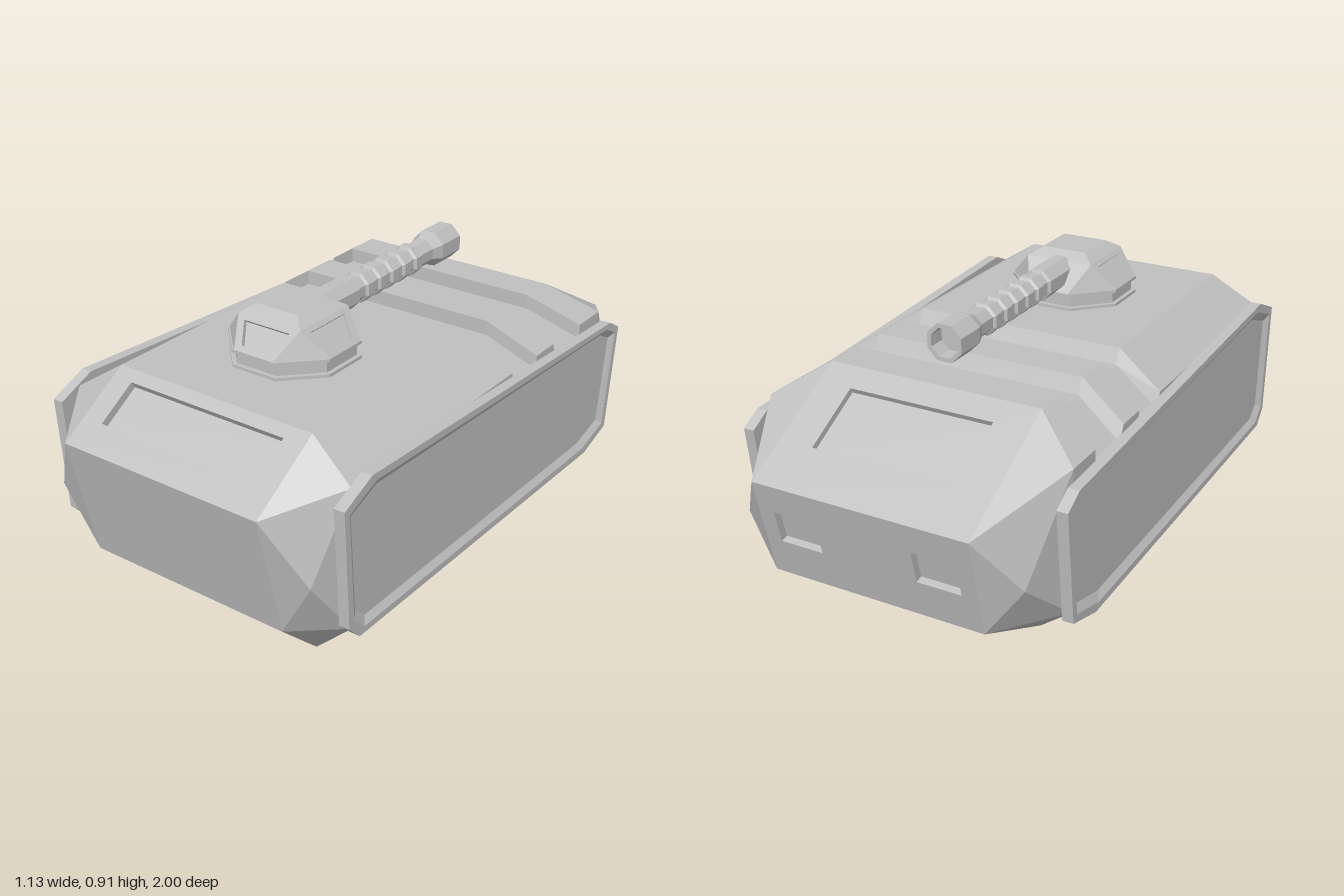
import * as THREE from 'three';

const V = (x, y, z) => new THREE.Vector3(x, y, z);
const mean = (pts) => pts.reduce((s, p) => s.add(p), V(0, 0, 0)).divideScalar(pts.length);

// Collects flat triangles; each one is turned to face a given direction
class Facets {
  constructor() { this.data = []; }
  tri(a, b, c, dir) {
    const n = b.clone().sub(a).cross(c.clone().sub(a));
    const order = n.dot(dir) < 0 ? [a, c, b] : [a, b, c];
    for (const p of order) this.data.push(p.x, p.y, p.z);
  }
  quad(a, b, c, d, dir) { this.tri(a, b, c, dir); this.tri(a, c, d, dir); }
  // Polygon facing away from `inside`, with sunken recesses
  face(pts, inside, recesses = [], depth = 0.03) {
    const n = V(0, 0, 0);
    pts.forEach((p, i) => n.add(p.clone().cross(pts[(i + 1) % pts.length])));
    n.normalize();
    if (n.dot(mean(pts).sub(inside)) < 0) n.negate();
    const u = pts[1].clone().sub(pts[0]).normalize();
    const v = n.clone().cross(u);
    const flat = (p) => new THREE.Vector2(p.dot(u), p.dot(v));
    const fill = (outline, holes) => {
      const all = [outline, ...holes].flat();
      const tris = THREE.ShapeUtils.triangulateShape(outline.map(flat), holes.map((h) => h.map(flat)));
      for (const [a, b, c] of tris) this.tri(all[a], all[b], all[c], n);
    };
    fill(pts, recesses);
    for (const hole of recesses) {
      const floor = hole.map((p) => p.clone().addScaledVector(n, -depth));
      const mid = mean(hole);
      hole.forEach((p, i) => {
        const j = (i + 1) % hole.length;
        const dir = mid.clone().sub(p.clone().add(hole[j]).multiplyScalar(0.5));
        this.quad(p, hole[j], floor[j], floor[i], dir);
      });
      fill(floor, []);
    }
  }
  mesh(name, material) {
    const g = new THREE.BufferGeometry();
    g.setAttribute('position', new THREE.Float32BufferAttribute(this.data, 3));
    g.computeVertexNormals();
    const m = new THREE.Mesh(g, material);
    m.name = name;
    return m;
  }
}

function flatMesh(geometry, name, material) {
  const g = geometry.toNonIndexed();
  g.computeVertexNormals();
  const m = new THREE.Mesh(g, material);
  m.name = name;
  return m;
}

// Faceted body with recessed windows, vents and roof grooves
function buildHull(material) {
  const f = new Facets();
  const core = V(0, 0.37, 0);
  const W = 0.37, S = 0.53, TOP = 0.74, SHOULDER = 0.635, SILL = 0.16;
  // Ends: [y, z] of nose and chin, corner point, roof, floor and side z
  const ends = [
    { nose: [0.58, 1], chin: [0.155, 0.905], mid: [0.49, 0.36, 0.92], z: 0.745, side: 0.78 },
    { nose: [0.51, -1], chin: [0.17, -0.92], mid: [0.485, 0.33, -0.89], z: -0.58, side: -0.69 },
  ];
  // Rectangle on a sloped end face between two [y, z] edges
  const onSlope = (x0, x1, y0, y1, a, b) => {
    const z = (y) => a[1] + (b[1] - a[1]) * (y - a[0]) / (b[0] - a[0]);
    return [V(x0, y0, z(y0)), V(x1, y0, z(y0)), V(x1, y1, z(y1)), V(x0, y1, z(y1))];
  };
  ends.forEach((e, i) => {
    const front = i === 0;
    const roof = [TOP, e.z], floor = [0, e.z];
    const band = (a, b, recesses, depth) =>
      f.face([V(-W, ...a), V(W, ...a), V(W, ...b), V(-W, ...b)], core, recesses, depth);
    band(e.nose, roof, [front ? onSlope(-0.295, 0.295, 0.633, 0.717, e.nose, roof)
      : onSlope(-0.25, 0.25, 0.588, 0.7, e.nose, roof)], front ? 0.026 : 0.02);
    band(e.chin, e.nose, front ? [] : [-0.24, 0.24].map((x) =>
      onSlope(x - 0.075, x + 0.075, 0.3, 0.41, e.chin, e.nose)), 0.025);
    band(floor, e.chin, front ? [-0.1875, 0.1875].map((x) =>
      onSlope(x - 0.14, x + 0.14, 0.035, 0.13, floor, e.chin)) : [], 0.032);
    // Corner facets
    for (const s of [-1, 1]) {
      const nose = V(s * W, ...e.nose), chin = V(s * W, ...e.chin);
      const mid = V(s * e.mid[0], e.mid[1], e.mid[2]);
      const hi = V(s * S, SHOULDER, e.side), lo = V(s * S, SILL, e.side);
      f.face([V(s * W, ...roof), hi, nose], core);
      f.face([nose, hi, mid], core);
      f.face([nose, mid, chin], core);
      f.face([mid, hi, lo], core);
      f.face([mid, lo, chin], core);
      f.face([chin, lo, V(s * W, ...floor)], core);
    }
  });
  // Underside with two long channels
  const [zf, zb] = [0.745, -0.58];
  f.face([V(-W, 0, zf), V(W, 0, zf), V(W, 0, zb), V(-W, 0, zb)], core, [-0.175, 0.175].map((x) =>
    [V(x - 0.125, 0, 0.665), V(x + 0.125, 0, 0.665), V(x + 0.125, 0, -0.47), V(x - 0.125, 0, -0.47)]));
  // Roof stations: [z at roof edge, z at shoulder, drop]
  const stations = [[zf, 0.78, 0], [-0.055, -0.09, 0], [-0.08, -0.11, 0.05], [-0.19, -0.25, 0.05],
    [-0.19, -0.25, 0], [-0.32, -0.36, 0], [-0.345, -0.385, 0.05], [-0.455, -0.55, 0.05],
    [-0.455, -0.55, 0], [zb, -0.69, 0]];
  const rows = stations.map(([zc, ze, d]) => [V(-S, SHOULDER - d, ze), V(-W, TOP - d, zc),
    V(W, TOP - d, zc), V(S, SHOULDER - d, ze)]);
  const up = V(0, 1, 0.1);
  for (let i = 0; i < rows.length - 1; i++)
    for (let k = 0; k < 3; k++)
      f.quad(rows[i][k], rows[i][k + 1], rows[i + 1][k + 1], rows[i + 1][k], up);
  for (const s of [-1, 1]) {
    // Side wall following the grooves
    const edge = rows.map((r) => r[s < 0 ? 0 : 3].clone());
    f.face([...edge, V(s * S, SILL, -0.69), V(s * S, SILL, 0.78)], core);
    // Lower chamfer with four slanted vents
    const at = (y, z) => V(s * (W + y), y, z);
    const vents = [0.58, 0.28, -0.02, -0.32].map((z, i) => {
      const lean = i * 0.014;
      return [at(0.02, z), at(0.02, z - 0.1), at(0.13, z - 0.1 - lean), at(0.13, z - lean)];
    });
    f.face([at(0, zf), at(0, zb), at(SILL, -0.69), at(SILL, 0.78)], core, vents, 0.022);
  }
  return f.mesh('hull', material);
}

// Side plate with raised rim and sunken centre
function buildSidePanel(s, material) {
  const f = new Facets();
  const outline = [[0.86, 0.61], [0.73, 0.665], [-0.72, 0.59], [-0.79, 0.55],
    [-0.745, 0.165], [-0.595, 0.12], [0.79, 0.155], [0.84, 0.207]];
  const cz = 0.035, cy = 0.39;
  const ring = (x, inset) => outline.map(([z, y]) =>
    V(s * x, cy + (y - cy) * (1 - inset / 0.26), cz + (z - cz) * (1 - inset / 0.82)));
  const rings = [ring(0.528, 0), ring(0.565, 0), ring(0.565, 0.024), ring(0.55, 0.048)];
  const out = V(s, 0, 0), centre = V(s * 0.5465, cy, cz);
  for (let k = 0; k < 3; k++)
    outline.forEach((_, i) => {
      const j = (i + 1) % outline.length;
      const dir = k === 0 ? mean([rings[0][i], rings[1][j]]).sub(centre) : out;
      f.quad(rings[k][i], rings[k][j], rings[k + 1][j], rings[k + 1][i], dir);
    });
  f.face(rings[3], V(0, cy, cz));
  f.face(rings[0], V(s * 2, cy, cz));
  return f.mesh(s > 0 ? 'leftSidePanel' : 'rightSidePanel', material);
}

// Turret cap: octagonal foot rising to a square crown, with windows
function buildDome(material) {
  const f = new Facets();
  const core = V(0, 0.84, 0);
  const foot = [];
  for (let q = 0; q < 4; q++) {
    const turn = (x, y, z) => V(x, y, z).applyAxisAngle(V(0, 1, 0), q * Math.PI / 2);
    const window = [turn(-0.055, 0.815, 0.1859), turn(0.055, 0.815, 0.1859),
      turn(0.088, 0.872, 0.1322), turn(-0.088, 0.872, 0.1322)];
    f.face([turn(-0.075, 0.8, 0.2), turn(0.075, 0.8, 0.2), turn(0.12, 0.885, 0.12), turn(-0.12, 0.885, 0.12)],
      core, q === 2 ? [] : [window], 0.015);
    f.face([turn(0.075, 0.8, 0.2), turn(0.2, 0.8, 0.075), turn(0.12, 0.885, 0.12)], core);
    f.face([turn(-0.12, 0.885, 0.12), turn(0.12, 0.885, 0.12), turn(0.08, 0.912, 0.08), turn(-0.08, 0.912, 0.08)], core);
    foot.push(turn(-0.075, 0.8, 0.2), turn(0.075, 0.8, 0.2));
  }
  f.face([V(-0.08, 0.912, 0.08), V(0.08, 0.912, 0.08), V(0.08, 0.912, -0.08), V(-0.08, 0.912, -0.08)], core);
  f.face(foot, core);
  return f.mesh('turretDome', material);
}

export function createModel() {
  const model = new THREE.Group();
  const grey = new THREE.MeshStandardMaterial({ color: 0xc0c0c0 });
  grey.name = 'armour grey';
  model.add(buildHull(grey), buildSidePanel(1, grey), buildSidePanel(-1, grey));

  // Turret with stepped octagonal collar
  const turret = new THREE.Group();
  turret.name = 'turret';
  turret.position.z = 0.357;
  turret.add(buildDome(grey));
  for (const [name, r, y0, y1] of [['collarBase', 0.2, 0.738, 0.75], ['collarNeck', 0.185, 0.75, 0.79], ['collarLip', 0.2, 0.79, 0.8]]) {
    const R = r / Math.cos(Math.PI / 8);
    const ring = flatMesh(new THREE.CylinderGeometry(R, R, y1 - y0, 8, 1, false, Math.PI / 8), name, grey);
    ring.position.y = (y0 + y1) / 2;
    turret.add(ring);
  }
  model.add(turret);

  // Ribbed cannon pointing back, hollow at the muzzle: [radius, distance]
  const profile = [[0.052, -0.25], [0.052, -0.08], [0.042, -0.075]];
  for (let i = 0; i < 5; i++) {
    const d = -0.035 + i * 0.07;
    profile.push([0.042, d], [0.051, d + 0.006], [0.051, d + 0.039], [0.042, d + 0.045]);
  }
  profile.push([0.044, 0.36], [0.06, 0.4], [0.06, 0.51], [0.046, 0.51], [0.046, 0.45], [0, 0.45]);
  const points = profile.map(([r, d]) => new THREE.Vector2(r / Math.cos(Math.PI / 8), d));
  const barrel = new THREE.LatheGeometry(points, 8, Math.PI / 8);
  barrel.rotateX(-Math.PI / 2);
  const cannon = flatMesh(barrel, 'cannon', grey);
  cannon.position.y = 0.845;
  model.add(cannon);
  return model;
}
